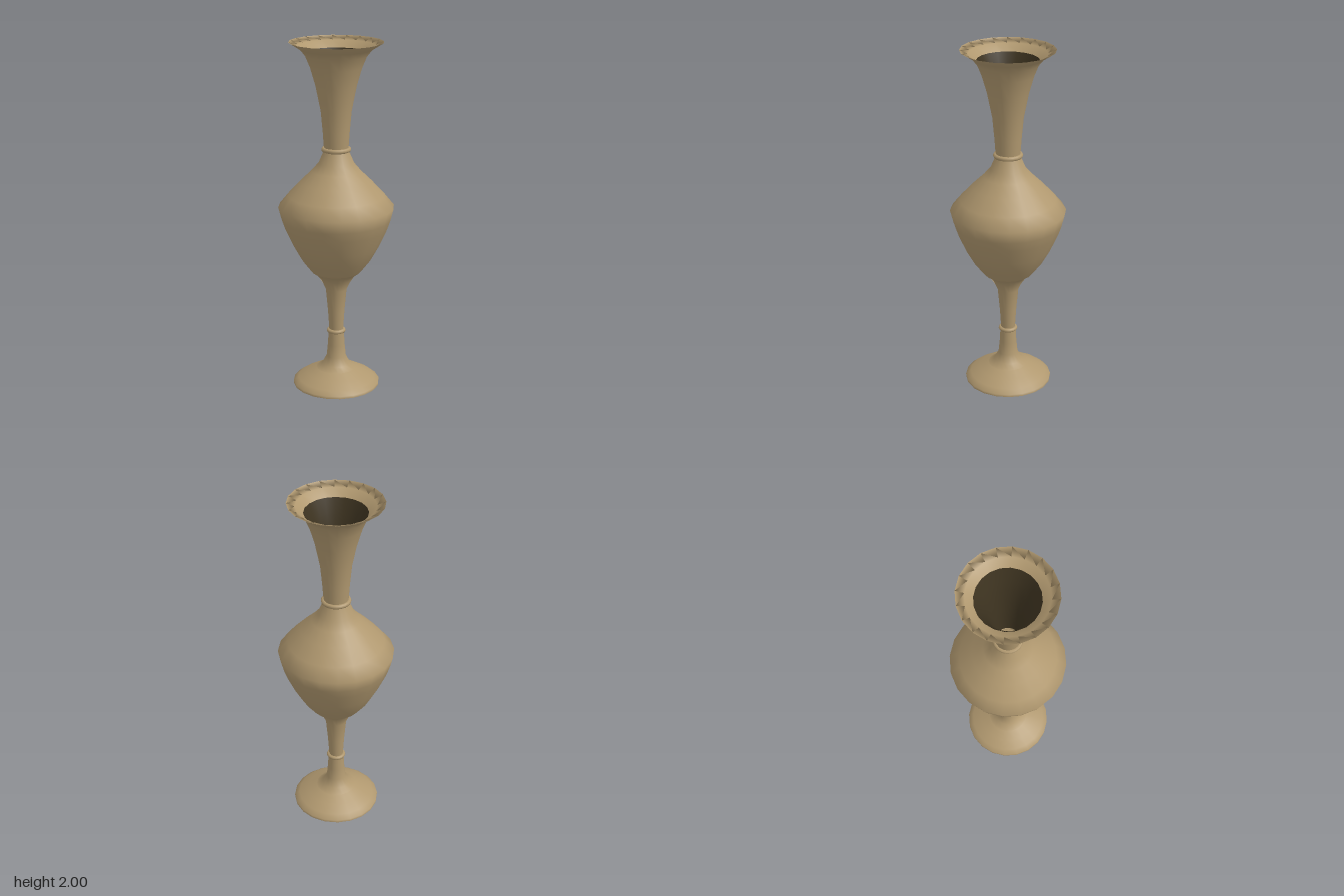
import * as THREE from 'three';

const SEGMENTS = 20;

function material(name, color) {
  const result = new THREE.MeshStandardMaterial({ color });
  result.name = name;
  return result;
}

export function createModel() {
  const vase = new THREE.Group();
  vase.name = 'vase';
  const clay = material('tan clay', 0xb0986f);
  const shade = material('dark brown', 0x3d3320);

  // Turned part: points are [radius, height]; rising points face outward
  function turn(name, points, surface = clay) {
    const profile = points.map(([r, y]) => new THREE.Vector2(r, y));
    const mesh = new THREE.Mesh(new THREE.LatheGeometry(profile, SEGMENTS), surface);
    mesh.name = name;
    vase.add(mesh);
  }

  // Thin moulding around the stem or neck
  function ring(name, radius, tube, y) {
    const geometry = new THREE.TorusGeometry(radius, tube, 8, SEGMENTS);
    geometry.rotateX(Math.PI / 2);
    const mesh = new THREE.Mesh(geometry, clay);
    mesh.name = name;
    mesh.position.y = y;
    vase.add(mesh);
  }

  // Foot, with a shallow hollow underneath
  turn('footUnderside', [[0, 0.02], [0.12, 0.014], [0.25, 0]]);
  turn('foot', [[0.25, 0], [0.25, 0.015], [0.222, 0.038], [0.17, 0.068], [0.115, 0.098]]);

  // Stem
  turn('lowerStem', [[0.115, 0.098], [0.08, 0.12], [0.056, 0.168], [0.049, 0.24], [0.044, 0.325]]);
  ring('stemRing', 0.043, 0.012, 0.325);
  turn('upperStem', [[0.04, 0.325], [0.048, 0.45], [0.06, 0.58], [0.086, 0.64], [0.112, 0.67], [0.142, 0.692]]);

  // Belly, smooth across its widest point
  turn('belly', [[0.142, 0.692], [0.198, 0.765], [0.245, 0.85], [0.29, 0.95], [0.309, 1.005],
    [0.327, 1.075], [0.272, 1.142], [0.2, 1.22], [0.138, 1.28], [0.1, 1.325], [0.068, 1.4]]);

  // Neck and flared mouth, rolling over the rim into the lip
  ring('neckRing', 0.071, 0.013, 1.403);
  turn('neckAndLip', [[0.068, 1.4], [0.075, 1.5], [0.086, 1.62], [0.114, 1.76], [0.143, 1.86],
    [0.17, 1.925], [0.198, 1.96], [0.261, 2], [0.215, 1.98], [0.172, 1.942]]);

  // Dark inside of the neck
  turn('neckInside', [[0.172, 1.942], [0.136, 1.86], [0.106, 1.76], [0.079, 1.62],
    [0.068, 1.5], [0.061, 1.4]], shade);

  // Hollow inside of the belly and stem, down to the floor
  turn('bellyInside', [[0.061, 1.4], [0.092, 1.325], [0.19, 1.22], [0.315, 1.075],
    [0.28, 0.95], [0.235, 0.85], [0.13, 0.7], [0.052, 0.58], [0.036, 0.36]]);
  turn('insideFloor', [[0.036, 0.36], [0, 0.36]]);

  return vase;
}
